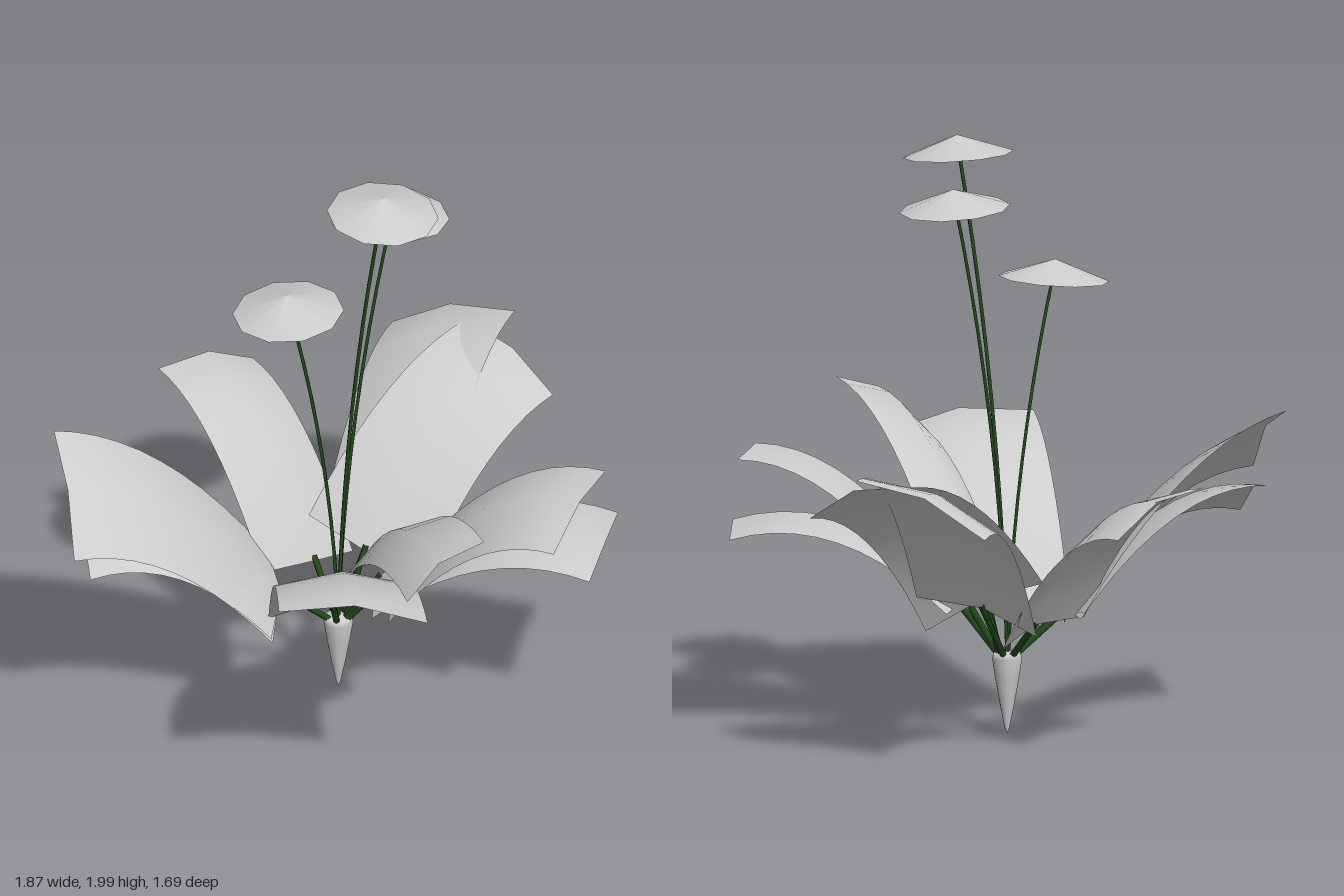
import * as THREE from 'three';

const V = (p) => new THREE.Vector3(...p);
const CROWN = [-0.01, 0.27, -0.055];
const LEAF_ARCH = 0.045;  // how far the midrib stands above the edges

// Each leaf: tip corners a and b, base corners a and b, and how far it bows upward
const LEAVES = [
  [[0.03, 0.92, -0.845], [0.425, 0.80, -0.76], [-0.115, 0.41, -0.29], [0.25, 0.35, -0.20], 0.23],
  [[-0.935, 0.80, -0.435], [-0.665, 1.06, -0.735], [-0.34, 0.33, -0.07], [-0.03, 0.44, -0.345], 0.23],
  [[-0.83, 0.67, -0.45], [-0.575, 0.82, -0.72], [-0.36, 0.36, -0.06], [-0.03, 0.42, -0.33], 0.23],
  [[-0.575, 0.85, 0.77], [-0.90, 0.91, 0.40], [-0.02, 0.43, 0.20], [-0.30, 0.39, -0.12], 0.23],
  [[-0.34, 1.07, 0.82], [-0.577, 0.90, 0.685], [0.14, 0.48, 0.08], [-0.10, 0.42, -0.01], 0.27],
  [[0.44, 0.925, 0.715], [0.0, 0.865, 0.845], [0.26, 0.49, 0.09], [-0.13, 0.43, 0.25], 0.23],
  [[0.57, 0.68, 0.665], [0.195, 0.66, 0.84], [0.23, 0.44, 0.03], [-0.13, 0.42, 0.18], 0.23],
  [[0.84, 0.84, -0.50], [0.93, 1.01, -0.055], [0.23, 0.40, -0.32], [0.29, 0.50, 0.11], 0.27],
  [[0.83, 0.98, -0.18], [0.81, 0.84, 0.20], [0.085, 0.55, -0.255], [0.20, 0.37, 0.13], 0.21],
];

// Apex of each flower cap
const FLOWERS = [[-0.03, 2.0, 0.153], [0.173, 1.86, 0.04], [-0.185, 1.586, -0.133]];

// Bowed sheet: two curved edges with a raised midrib between them
function leafGeometry([tipA, tipB, baseA, baseB, bump]) {
  const edge = (base, tip) => {
    const a = V(base), b = V(tip);
    const ctrl = a.clone().lerp(b, 0.5);
    ctrl.y += bump;
    return new THREE.QuadraticBezierCurve3(a, ctrl, b);
  };
  const left = edge(baseA, tipA), right = edge(baseB, tipB);
  const rows = 10, pos = [], index = [];
  for (let i = 0; i <= rows; i++) {
    const t = i / rows;
    const a = left.getPoint(t), b = right.getPoint(t);
    const along = left.getTangent(t).add(right.getTangent(t));
    const normal = b.clone().sub(a).cross(along).normalize();
    const mid = a.clone().lerp(b, 0.5).addScaledVector(normal, LEAF_ARCH);
    pos.push(...a.toArray(), ...mid.toArray(), ...b.toArray());
    if (i === rows) continue;
    for (let j = 0; j < 2; j++) {
      const k = i * 3 + j;
      index.push(k, k + 1, k + 4, k, k + 4, k + 3);
    }
  }
  const geo = new THREE.BufferGeometry();
  geo.setAttribute('position', new THREE.Float32BufferAttribute(pos, 3));
  geo.setIndex(index);
  geo.computeVertexNormals();
  // Midpoint of the base, where the stalk joins
  const joint = new THREE.Vector3().fromArray(pos, 3);
  return { geo, joint };
}

export function createModel() {
  const model = new THREE.Group();
  model.name = 'plant';
  const paleGrey = new THREE.MeshStandardMaterial({ color: 0xcccccc, side: THREE.DoubleSide });
  paleGrey.name = 'pale grey';
  const darkGreen = new THREE.MeshStandardMaterial({ color: 0x234a1c });
  darkGreen.name = 'dark green';

  const add = (name, geo, mat) => {
    const mesh = new THREE.Mesh(geo, mat);
    mesh.name = name;
    model.add(mesh);
    return mesh;
  };

  // Tapered root
  const profile = [[0, 0.01], [0.008, 0.03], [0.024, 0.11], [0.04, 0.2], [0.05, 0.265], [0.044, 0.283], [0, 0.288]]
    .map(([r, y]) => new THREE.Vector2(r, y));
  add('root', new THREE.LatheGeometry(profile, 12), paleGrey).position.set(CROWN[0], 0, CROWN[2]);

  // Leaves and their stalks
  for (const leaf of LEAVES) {
    const { geo, joint } = leafGeometry(leaf);
    add('leaf', geo, paleGrey);
    const start = V(CROWN);
    const end = joint.clone().sub(start).multiplyScalar(1.08).add(start);
    start.addScaledVector(end.clone().sub(start).setY(0).normalize(), 0.025);
    add('leafStalk', new THREE.TubeGeometry(new THREE.LineCurve3(start, end), 1, 0.011, 6), darkGreen);
  }

  // Tall flower stems with shallow conical caps tilted outward
  for (const apex of FLOWERS) {
    const start = V(CROWN), top = V(apex);
    const lean = new THREE.Vector3(top.x - start.x, 0, top.z - start.z);
    const axis = lean.clone().multiplyScalar(0.4).setY(1).normalize();
    const end = top.clone().addScaledVector(axis, -0.03);
    const ctrl = start.clone().addScaledVector(lean, 0.12).setY((start.y + end.y) / 2);
    const path = new THREE.QuadraticBezierCurve3(start, ctrl, end);
    add('flowerStem', new THREE.TubeGeometry(path, 10, 0.006, 6), darkGreen);

    const cap = add('flowerCap', new THREE.ConeGeometry(0.185, 0.066, 10), paleGrey);
    cap.quaternion.setFromUnitVectors(new THREE.Vector3(0, 1, 0), axis);
    cap.position.copy(top).addScaledVector(axis, -0.033);
  }
  return model;
}
